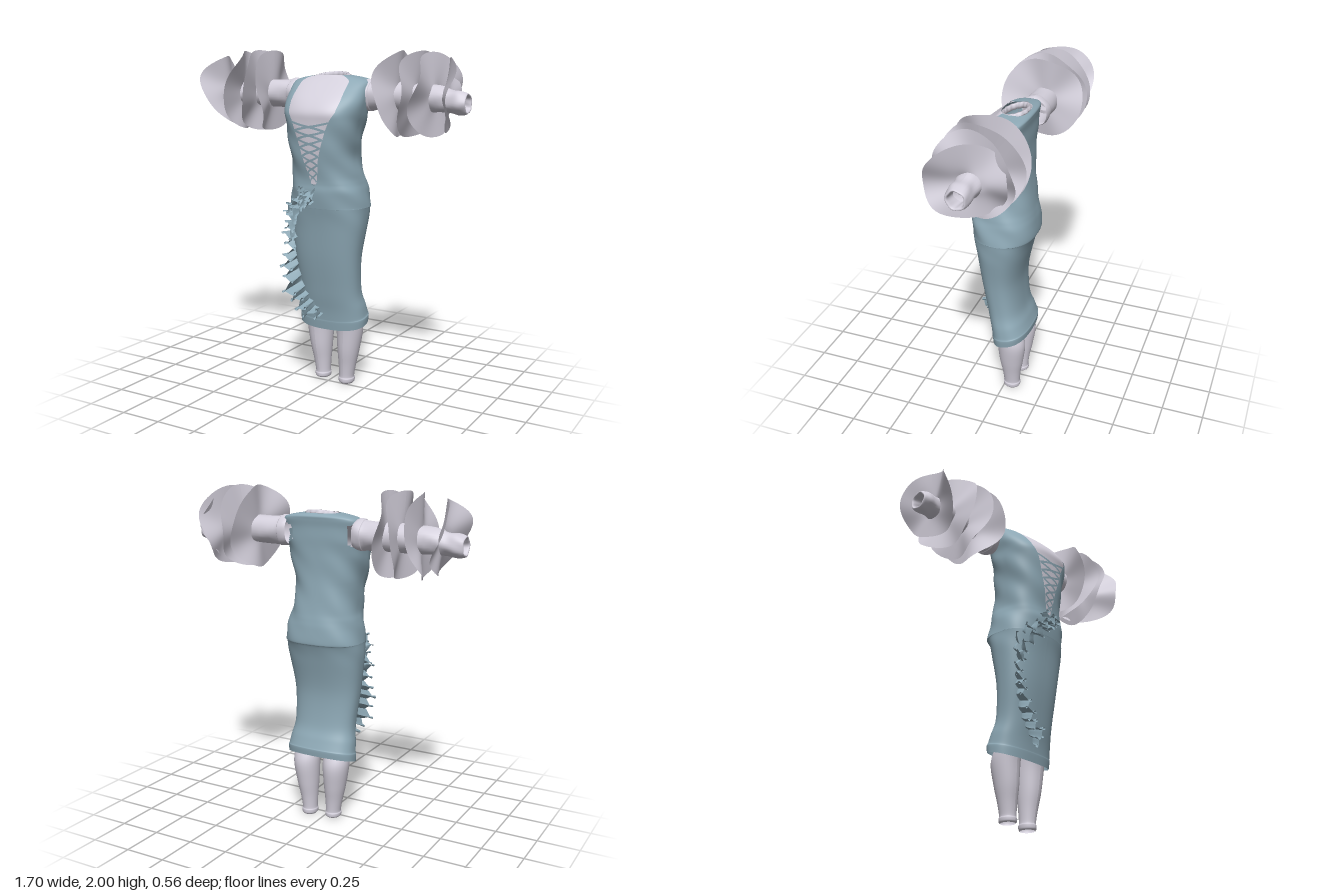
import * as THREE from 'three';

const mat = (name, color) => {
  const m = new THREE.MeshStandardMaterial({ color, side: THREE.DoubleSide });
  m.name = name;
  return m;
};

// Sheet bent by a rule: fn(u, v) returns [x, y, z]
function sheet(nu, nv, fn) {
  const g = new THREE.PlaneGeometry(1, 1, nu, nv);
  const p = g.attributes.position, uv = g.attributes.uv;
  for (let i = 0; i < p.count; i++) p.setXYZ(i, ...fn(uv.getX(i), uv.getY(i)));
  g.computeVertexNormals();
  return g;
}

// Smooth reading of a table of rows at a fractional index
function sample(rows, t) {
  const n = rows.length - 1, i = Math.min(Math.floor(t), n - 1), f = t - i;
  const at = k => rows[Math.max(0, Math.min(n, k))];
  const [a, b, c, d] = [at(i - 1), at(i), at(i + 1), at(i + 2)];
  return b.map((q, k) => {
    const m0 = (c[k] - a[k]) / 2, m1 = (d[k] - q) / 2;
    return q + f * (m0 + f * (3 * (c[k] - q) - 2 * m0 - m1 + f * (2 * (q - c[k]) + m0 + m1)));
  });
}

// Torso rings: y, x min, x max, z back, z front
const RINGS = [
  [0.388, -0.195, 0.238, -0.155, 0.074],
  [0.43, -0.196, 0.242, -0.158, 0.08],
  [0.445, -0.191, 0.237, -0.153, 0.081],
  [0.5, -0.185, 0.23, -0.135, 0.09],
  [0.6, -0.172, 0.215, -0.105, 0.112],
  [0.8, -0.19, 0.225, -0.092, 0.147],
  [1.0, -0.21, 0.255, -0.13, 0.172],
  [1.1, -0.214, 0.262, -0.16, 0.19],
  [1.115, -0.214, 0.262, -0.176, 0.193],
  [1.2, -0.2, 0.25, -0.17, 0.205],
  [1.25, -0.192, 0.235, -0.162, 0.203],
  [1.3, -0.185, 0.222, -0.153, 0.207],
  [1.4, -0.185, 0.207, -0.14, 0.225],
  [1.5, -0.2, 0.22, -0.13, 0.235],
  [1.6, -0.215, 0.24, -0.128, 0.242],
  [1.66, -0.222, 0.25, -0.128, 0.24],
  [1.72, -0.23, 0.26, -0.13, 0.2],
  [1.78, -0.23, 0.26, -0.13, 0.135],
  [1.825, -0.222, 0.253, -0.135, 0.078],
  [1.845, -0.175, 0.205, -0.135, 0.055],
  [1.86, -0.085, 0.115, -0.115, 0.04],
];
const LAST = RINGS.length - 1, SLIT = 10, EXP = 0.82;
// Half width of the neckline on the rings from the slit upward
const NECK = [0.016, 0.028, 0.05, 0.08, 0.115, 0.15, 0.16, 0.158, 0.155, 0.13, 0.085];

const pow = (v, e = EXP) => Math.sign(v) * Math.abs(v) ** e;
const angleFor = (dx, rx) => Math.asin(Math.min(1, Math.abs(dx) / rx) ** (1 / EXP)) * Math.sign(dx);

function torsoPoint(i, angle, inset = 0) {
  const [y, x0, x1, zb, zf] = sample(RINGS, i);
  // The back is squarer toward the shoulders
  const square = Math.max(0, Math.min(1, (y - 1.45) * 4));
  const cos = Math.cos(angle), s = pow(Math.sin(angle));
  const c = pow(cos, cos < 0 ? EXP - 0.3 * square : EXP);
  const hem = 0.033 * Math.max(0, 1 - Math.max(0, y - 0.388) / 0.25);
  const fold = 0.004 * Math.sin(y * 34 + angle * 5) * Math.max(0, Math.min(1, (y - 0.95) * 4, (1.8 - y) * 5));
  const k = fold * Math.abs(s) - inset;
  return [(x0 + x1) / 2 + ((x1 - x0) / 2 + k) * s, y - hem * c, (zb + zf) / 2 + ((zf - zb) / 2 + k) * c];
}

function neckAngle(i) {
  if (i < SLIT) return 0;
  const j = Math.min(i - SLIT, NECK.length - 1), a = Math.min(Math.floor(j), NECK.length - 2);
  const r = sample(RINGS, i);
  return angleFor(NECK[a] + (NECK[a + 1] - NECK[a]) * (j - a), (r[2] - r[1]) / 2);
}

// Ring index at a height
function indexAt(y) {
  let i = 0;
  while (i < LAST - 1 && RINGS[i + 1][0] < y) i++;
  return i + (y - RINGS[i][0]) / (RINGS[i + 1][0] - RINGS[i][0]);
}

// Drop the faces that lie inside the sleeves
function openArmholes(g) {
  const p = g.attributes.position, old = g.index.array, kept = [];
  for (let f = 0; f < old.length; f += 3) {
    const tri = [old[f], old[f + 1], old[f + 2]];
    const inside = tri.every(k => Math.abs(p.getX(k)) > 0.17 && Math.hypot(p.getY(k) - 1.747, p.getZ(k) + 0.054) < 0.074);
    if (!inside) kept.push(...tri);
  }
  g.setIndex(kept);
  return g;
}

export function createModel() {
  const group = new THREE.Group();
  const blue = mat('dustyBlueCloth', 0x8da8b5), pale = mat('paleLilacCloth', 0xd3cfdb);
  const add = (name, geo, m) => {
    const mesh = new THREE.Mesh(geo, m);
    mesh.name = name;
    group.add(mesh);
  };

  // Dress, cut open along the neckline, and the blouse showing in it
  add('dress', openArmholes(sheet(96, 120, (u, v) => {
    const i = v * LAST, a = neckAngle(i);
    return torsoPoint(i, a + u * (2 * Math.PI - 2 * a));
  })), blue);
  add('blouseFront', sheet(24, 50, (u, v) => {
    const i = SLIT + v * (LAST - SLIT);
    return torsoPoint(i, neckAngle(i) * 1.06 * (u * 2 - 1), 0.003);
  }), pale);

  // Crossed flat laces over the slit
  for (let k = 0; k < 7; k++) {
    for (const s of [-1, 1]) {
      add('lace', sheet(8, 1, (u, v) => {
        const y = 1.265 + k * 0.048 + u * 0.05 + (v - 0.5) * 0.013;
        const i = indexAt(y), p = torsoPoint(i, neckAngle(i) * s * (u * 2 - 1), -0.003);
        return [p[0], y, p[2] + 0.001 * (1 + s)];
      }), blue);
    }
  }

  // Gathered collar
  add('collar', sheet(72, 6, (u, v) => {
    const t = u * Math.PI * 2, w = v * Math.PI * 2;
    const r = 1 + 0.13 * Math.cos(w) + 0.03 * Math.sin(t * 14);
    return [0.015 + 0.092 * r * Math.sin(t), 1.846 + 0.02 * Math.sin(w) - 0.016 * Math.cos(t), -0.035 + 0.07 * r * Math.cos(t)];
  }), pale);

  // Sleeves: distance out, centre y, centre z, radius; the last rows turn inward at the cuff
  const SLEEVE = [
    [0.215, 1.748, -0.052, 0.084], [0.235, 1.748, -0.052, 0.09], [0.265, 1.746, -0.055, 0.089],
    [0.29, 1.746, -0.055, 0.082], [0.5, 1.745, -0.055, 0.08], [0.68, 1.738, -0.045, 0.073],
    [0.75, 1.728, -0.036, 0.062], [0.8, 1.722, -0.03, 0.066], [0.835, 1.718, -0.03, 0.06],
    [0.85, 1.718, -0.03, 0.052], [0.838, 1.718, -0.03, 0.042], [0.78, 1.72, -0.03, 0.04],
  ];
  // Sleeve frills: distance out of the rim at its top, front, bottom and back, then its radius
  const FRILLS = {
    '-1': [[0.42, 0.37, 0.41, 0.42, 0.238], [0.48, 0.48, 0.505, 0.505, 0.24],
      [0.585, 0.59, 0.63, 0.62, 0.235], [0.76, 0.78, 0.68, 0.79, 0.205]],
    '1': [[0.43, 0.4, 0.45, 0.47, 0.24], [0.56, 0.53, 0.51, 0.57, 0.238],
      [0.65, 0.61, 0.63, 0.7, 0.232], [0.74, 0.83, 0.71, 0.69, 0.205]],
  };
  for (const s of [-1, 1]) {
    add(s > 0 ? 'leftSleeve' : 'rightSleeve', sheet(32, 44, (u, v) => {
      const [d, cy, cz, r] = sample(SLEEVE, v * (SLEEVE.length - 1));
      const t = u * Math.PI * 2, q = r + 0.0025 * Math.sin(t * 5 + d * 30);
      return [s * d, cy + q * Math.cos(t), cz + q * Math.sin(t)];
    }), pale);
    FRILLS[s].forEach(([top, front, bottom, back, R], n) => {
      const mid = (top + front + bottom + back) / 4, saddle = (top + bottom - front - back) / 4;
      add('sleeveFrill', sheet(80, 8, (u, v) => {
        const t = u * Math.PI * 2, r = 0.06 + (R - 0.06) * v;
        const lean = (top - bottom) / 2 * Math.cos(t) + (front - back) / 2 * Math.sin(t) + saddle * Math.cos(2 * t);
        const wave = 0.026 * Math.sin(3 * t + n * 1.7 + s) + 0.009 * Math.sin(5 * t + n);
        const out = mid - (n === 3 ? 0.03 * (1 - v) : 0) + v * (lean + wave);
        return [s * out, 1.745 + 0.015 * v + r * Math.cos(t), -0.05 + 0.006 * v + r * Math.sin(t)];
      }), pale);
    });
  }

  // Legs: y, centre x, centre z, radius x, radius z, with a cuff at the ankle
  const LEG = [
    [0.0, 0.105, -0.045, 0.04, 0.045], [0.01, 0.105, -0.045, 0.047, 0.053], [0.03, 0.105, -0.045, 0.049, 0.054],
    [0.045, 0.105, -0.045, 0.045, 0.05], [0.12, 0.11, -0.045, 0.053, 0.058], [0.22, 0.117, -0.046, 0.067, 0.075],
    [0.35, 0.124, -0.047, 0.08, 0.087], [0.45, 0.122, -0.02, 0.078, 0.076], [0.56, 0.116, 0.002, 0.073, 0.068],
  ];
  for (const s of [-1, 1]) {
    add(s > 0 ? 'leftLeg' : 'rightLeg', sheet(28, 36, (u, v) => {
      const [y, cx, cz, rx, rz] = sample(LEG, v * (LEG.length - 1));
      const t = u * Math.PI * 2;
      const x = s > 0 ? cx : 0.046 - cx;
      return [x + rx * Math.sin(t), y + (s < 0 ? 0.012 * (1 - v) : 0), cz + rz * Math.cos(t)];
    }), pale);
  }

  // Wavy frill standing out from the skirt along a path of x, y, height
  function skirtFrill(path, waves, width) {
    const curve = new THREE.CatmullRomCurve3(path.map(p => new THREE.Vector3(...p)));
    add('skirtFrill', sheet(waves * 14, 4, (u, v) => {
      const p = curve.getPoint(u), tan = curve.getTangent(u);
      const i = indexAt(p.y), r = sample(RINGS, i);
      const a = angleFor(p.x - (r[1] + r[2]) / 2, (r[2] - r[1]) / 2);
      const q = torsoPoint(i, a, 0.004);
      const len = Math.hypot(tan.x, tan.y), turn = u * waves * Math.PI * 2;
      const side = width * (0.15 + v) * Math.sin(turn), along = 0.016 * v * Math.sin(turn * 2);
      const h = p.z * v * (0.9 + 0.15 * Math.sin(u * 37));
      return [
        q[0] + h * Math.sin(a) * 0.4 + (-tan.y * side + tan.x * along) / len,
        p.y + (tan.x * side + tan.y * along) / len - 0.3 * h,
        q[2] + h * (0.5 + 0.5 * Math.cos(a)),
      ];
    }), blue);
  }
  skirtFrill([[0.03, 1.23, 0.06], [-0.04, 1.16, 0.08], [-0.11, 1.07, 0.065], [-0.165, 0.96, 0.06], [-0.165, 0.84, 0.07],
    [-0.15, 0.74, 0.13], [-0.11, 0.61, 0.13], [-0.055, 0.53, 0.12], [0.015, 0.46, 0.06]], 15, 0.036);
  skirtFrill([[-0.06, 1.23, 0.06], [-0.01, 1.2, 0.075], [0.02, 1.15, 0.06]], 3, 0.03);
  skirtFrill([[-0.04, 1.18, 0.06], [-0.12, 1.13, 0.055], [-0.17, 1.09, 0.04], [-0.18, 0.98, 0.04], [-0.13, 0.92, 0.05]], 5, 0.03);

  return group;
}
